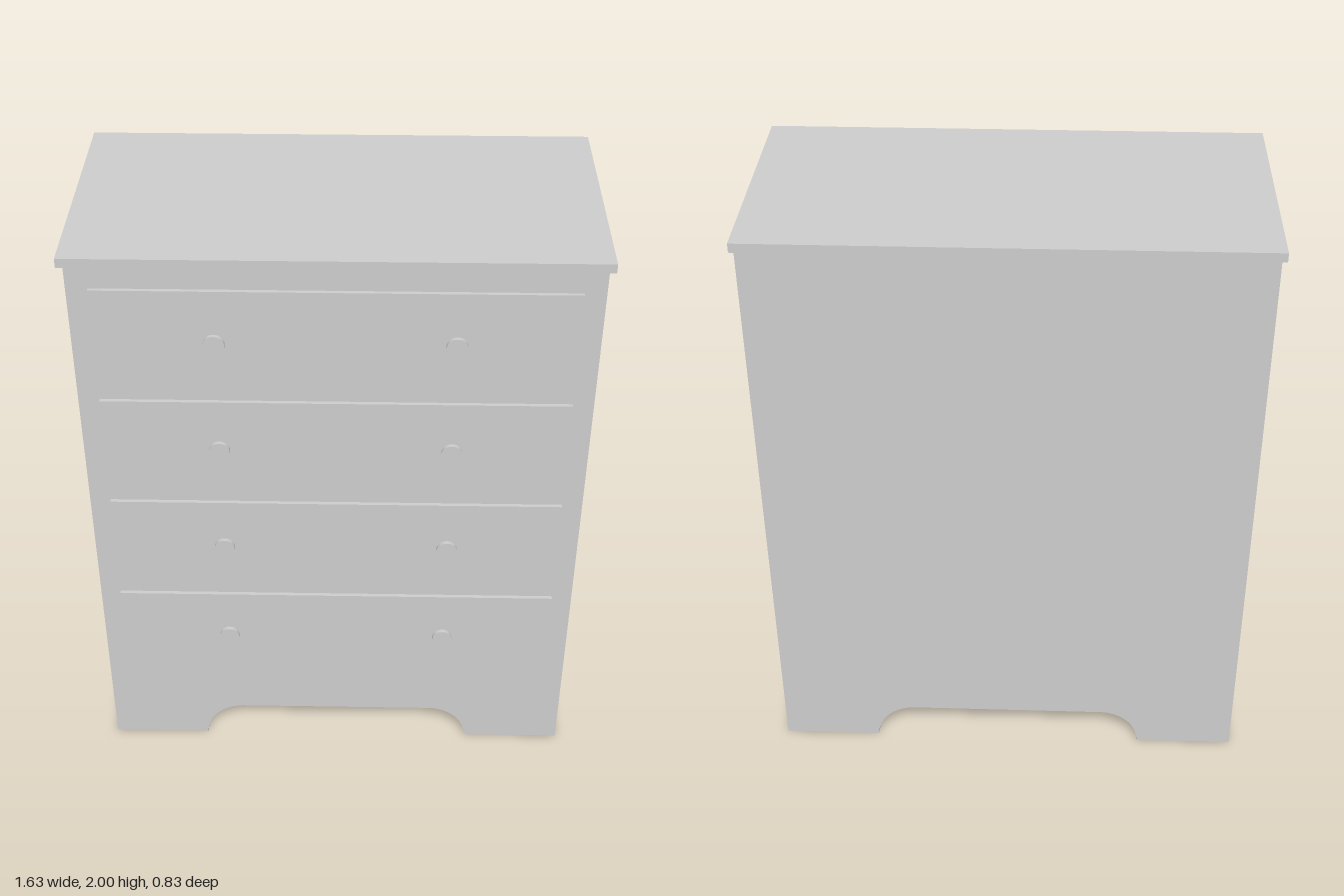
import * as THREE from 'three';
import { toCreasedNormals } from 'three/addons/utils/BufferGeometryUtils.js';

const BACK = -0.413, FRONT = 0.387, DRAWER_FRONT = 0.4, KNOB_FRONT = 0.413;

export function createModel() {
  const model = new THREE.Group();
  model.name = 'chestOfDrawers';
  const material = new THREE.MeshStandardMaterial({ color: 0xcccccc });

  function add(name, geometry, x, y, z, parent = model) {
    const mesh = new THREE.Mesh(geometry, material);
    mesh.name = name;
    mesh.position.set(x, y, z);
    parent.add(mesh);
    return mesh;
  }

  // Carcass: front outline with a rounded arch between the feet, run front to back
  const w = 0.8, h = 1.97, arch = 0.467, r = 0.135;
  const outline = new THREE.Shape();
  outline.moveTo(-w, 0);
  outline.lineTo(-arch, 0);
  outline.absarc(-arch + r, 0, r, Math.PI, Math.PI / 2, true);
  outline.absarc(arch - r, 0, r, Math.PI / 2, 0, true);
  outline.lineTo(w, 0);
  outline.lineTo(w, h);
  outline.lineTo(-w, h);
  outline.closePath();
  const carcass = new THREE.ExtrudeGeometry(outline, {
    depth: FRONT - BACK, bevelEnabled: false, curveSegments: 16,
  });
  add('carcass', toCreasedNormals(carcass, Math.PI / 6), 0, 0, BACK);

  // Top board, flush at the back and overhanging the sides and front
  add('topBoard', new THREE.BoxGeometry(1.632, 2 - h, 0.826), 0, (2 + h) / 2, 0);

  // Four drawers, each with a raised front and two round knobs
  const drawerDepth = DRAWER_FRONT - FRONT;
  const knobDepth = KNOB_FRONT - DRAWER_FRONT;
  const drawerGeometry = new THREE.BoxGeometry(1.466, 0.366, drawerDepth);
  const knobGeometry = new THREE.CylinderGeometry(0.033, 0.033, knobDepth, 32).rotateX(Math.PI / 2);
  for (let i = 0; i < 4; i++) {
    const drawer = new THREE.Group();
    drawer.name = 'drawer' + (i + 1);
    drawer.position.y = 0.503 + i * 0.4;
    model.add(drawer);
    add('drawerFront', drawerGeometry, 0, 0, FRONT + drawerDepth / 2, drawer);
    for (const side of [-1, 1]) {
      add(side > 0 ? 'leftKnob' : 'rightKnob', knobGeometry,
        side * 0.367, 0, DRAWER_FRONT + knobDepth / 2, drawer);
    }
  }

  return model;
}
